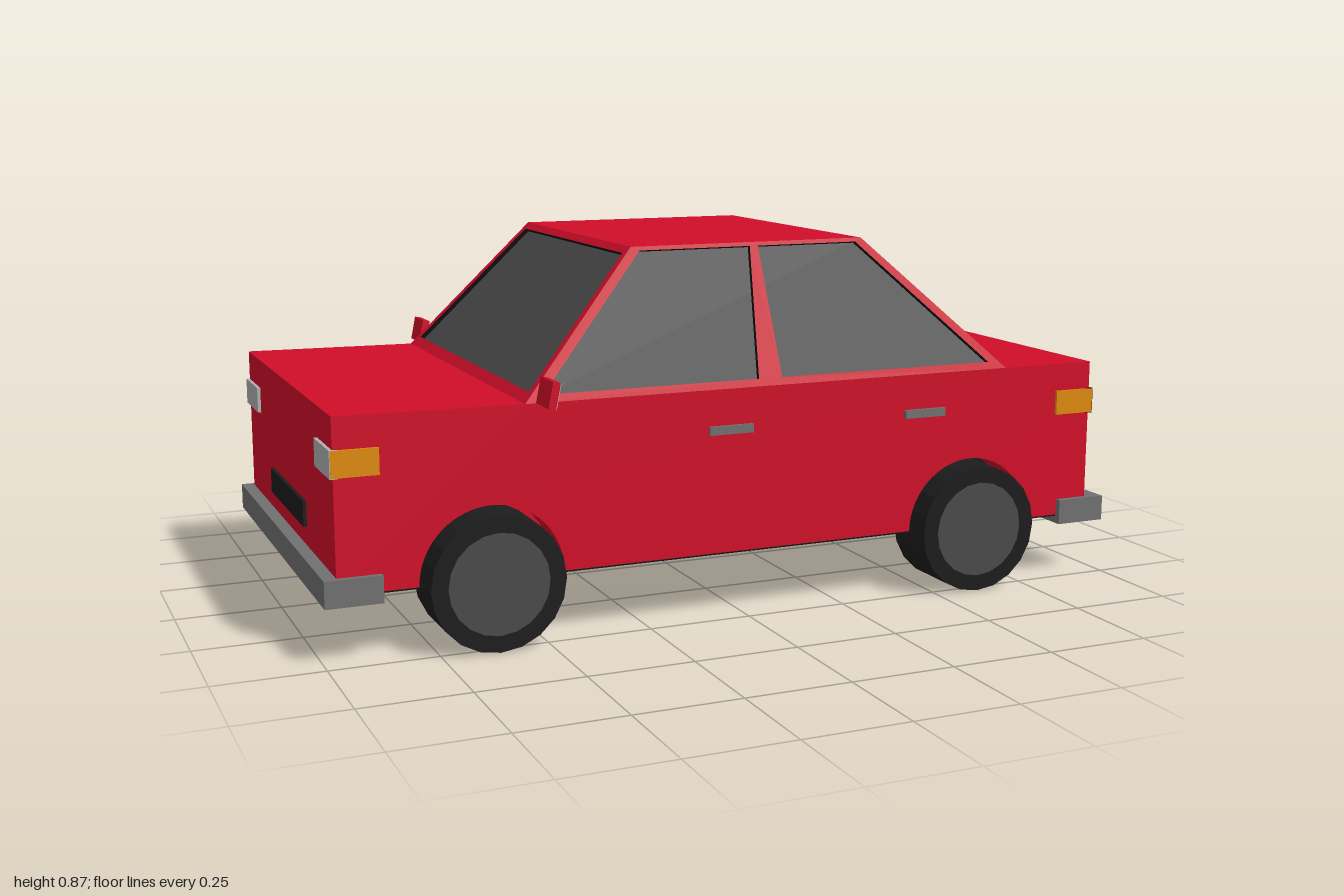
import * as THREE from 'three';

const mat = (color) => new THREE.MeshStandardMaterial({ color, flatShading: true });
const RED = mat(0xd00e28), GLASS = mat(0x4a4a4a), BLACK = mat(0x1c1c1c), DARK = mat(0x111111);
const GREY = mat(0x707070), AMBER = mat(0xdd8a0c), TAIL = mat(0x5a0c0c), SILVER = mat(0xb0b0b0);

const BELT = 0.548, ROOF = 0.872, HALF = 0.48, ROOF_HALF = 0.365;
const NOSE = -0.97, TAIL_X = 0.955;
const CABIN = { x0: -0.54, x1: 0.705, r0: -0.243, r1: 0.355 };
const WHEELS = [-0.62, 0.61], AXLE_Y = 0.16;

export function createModel() {
  const car = new THREE.Group();
  car.name = 'car';

  const add = (name, geometry, material, parent = car) => {
    const mesh = new THREE.Mesh(geometry, material);
    mesh.name = name;
    parent.add(mesh);
    return mesh;
  };
  // box given by its lower and upper limits
  const box = (name, material, x0, x1, y0, y1, z0, z1, parent) => {
    const mesh = add(name, new THREE.BoxGeometry(x1 - x0, y1 - y0, z1 - z0), material, parent);
    mesh.position.set((x0 + x1) / 2, (y0 + y1) / 2, (z0 + z1) / 2);
    return mesh;
  };

  // lower body with wheel arches cut through
  const body = new THREE.Shape();
  body.moveTo(NOSE, AXLE_Y);
  for (const x of WHEELS) {
    body.lineTo(x - 0.168, AXLE_Y);
    body.absarc(x, AXLE_Y, 0.168, Math.PI, 0, true);
  }
  body.lineTo(TAIL_X, AXLE_Y);
  body.lineTo(TAIL_X, BELT);
  body.lineTo(CABIN.x0, BELT);
  body.lineTo(NOSE, 0.553);
  const bodyGeo = new THREE.ExtrudeGeometry(body, { depth: HALF * 2, bevelEnabled: false, curveSegments: 20 });
  bodyGeo.translate(0, 0, -HALF);
  add('body', bodyGeo, RED);
  box('underbody', DARK, NOSE + 0.003, TAIL_X - 0.003, 0.156, 0.162, -0.478, 0.478);
  WHEELS.forEach((x, i) => box('wheelWell', i ? BLACK : RED, x - 0.17, x + 0.17, 0.161, 0.34, -0.385, 0.385));

  // sloping cabin wall: framed openings with recessed glass behind
  const DEPTH = 0.012;
  const wall = (name, outline, holes, origin, u, slope) => {
    const v = slope.clone().normalize();
    const n = u.clone().cross(v);
    const points = (list) => list.map(([a, y]) => new THREE.Vector2(a, (y - BELT) / v.y));
    const shape = new THREE.Shape(points(outline));
    const pane = new THREE.ShapeGeometry(shape);
    shape.holes = holes.map((h) => new THREE.Path(points(h)));
    const frame = new THREE.ExtrudeGeometry(shape, { depth: DEPTH, bevelEnabled: false });
    const m = new THREE.Matrix4().makeBasis(u, v, n).setPosition(origin.clone().addScaledVector(n, -DEPTH));
    add(name + 'Frame', frame.applyMatrix4(m), [RED, DARK]);
    m.setPosition(origin.clone().addScaledVector(n, -DEPTH + 0.001));
    add(name + 'Glass', pane.applyMatrix4(m), GLASS);
  };
  const V = (x, y, z) => new THREE.Vector3(x, y, z);
  const rise = ROOF - BELT;

  // side walls, each with two windows
  const sideOutline = [[CABIN.x0, BELT], [CABIN.x1, BELT], [CABIN.r1, ROOF], [CABIN.r0, ROOF]];
  const sideWindows = [
    [[-0.495, 0.565], [0.033, 0.565], [0.057, 0.863], [-0.222, 0.863]],
    [[0.093, 0.565], [0.657, 0.565], [0.338, 0.863], [0.078, 0.863]],
  ];
  for (const s of [1, -1]) {
    const flip = (list) => list.map(([x, y]) => [x * s, y]);
    wall('sideWindow', flip(sideOutline), sideWindows.map(flip),
      V(0, BELT, s * HALF), V(s, 0, 0), V(0, rise, s * (ROOF_HALF - HALF)));
  }

  // windscreen and rear window
  const endOutline = [[-HALF, BELT], [HALF, BELT], [ROOF_HALF, ROOF], [-ROOF_HALF, ROOF]];
  const endWindow = [[-0.45, 0.569], [0.45, 0.569], [0.347, 0.857], [-0.347, 0.857]];
  wall('windscreen', endOutline, [endWindow], V(CABIN.x0, BELT, 0), V(0, 0, 1), V(CABIN.r0 - CABIN.x0, rise, 0));
  wall('rearWindow', endOutline, [endWindow], V(CABIN.x1, BELT, 0), V(0, 0, -1), V(CABIN.r1 - CABIN.x1, rise, 0));
  box('roof', RED, CABIN.r0, CABIN.r1, ROOF - 0.008, ROOF, -ROOF_HALF, ROOF_HALF);

  // bumpers, grille and rear plate
  box('frontBumper', GREY, -1, -0.87, 0.138, 0.2, -0.495, 0.495);
  box('rearBumper', GREY, 0.87, 1, 0.138, 0.2, -0.495, 0.495);
  box('grille', BLACK, NOSE - 0.008, NOSE + 0.01, 0.245, 0.305, -0.19, 0.19);
  box('rearPlate', BLACK, TAIL_X - 0.01, TAIL_X + 0.008, 0.245, 0.305, -0.19, 0.19);

  for (const s of [1, -1]) {
    const side = new THREE.Group();
    side.name = s > 0 ? 'leftDetails' : 'rightDetails';
    car.add(side);
    const part = (name, m, x0, x1, y0, y1, a, b) =>
      box(name, m, x0, x1, y0, y1, Math.min(a * s, b * s), Math.max(a * s, b * s), side);

    // lights wrapping the corners
    part('headlight', SILVER, NOSE - 0.008, NOSE + 0.01, 0.418, 0.481, 0.335, 0.486);
    part('frontIndicator', AMBER, NOSE - 0.006, -0.87, 0.42, 0.48, 0.46, 0.487);
    part('tailLight', TAIL, TAIL_X - 0.01, TAIL_X + 0.008, 0.418, 0.481, 0.254, 0.486);
    part('rearIndicator', AMBER, 0.855, TAIL_X + 0.006, 0.42, 0.48, 0.46, 0.487);

    // door handles
    for (const x of [-0.042, 0.475]) part('doorHandle', GREY, x - 0.055, x + 0.055, 0.443, 0.463, 0.47, 0.49);

    // door mirror, leaning back with a pale reflecting face
    const mirror = new THREE.Group();
    mirror.name = 'doorMirror';
    mirror.position.set(-0.5, 0.577, s * 0.524);
    mirror.rotation.z = -0.2;
    side.add(mirror);
    box('mirrorHousing', RED, -0.01, 0.008, -0.03, 0.03, -0.041, 0.041, mirror);
    box('mirrorGlass', SILVER, 0.007, 0.01, -0.029, 0.029, -0.04, 0.04, mirror);

    // wheels
    for (const x of WHEELS) {
      const wheel = new THREE.Group();
      wheel.name = 'wheel';
      wheel.position.set(x, AXLE_Y, s * 0.458);
      wheel.rotation.x = (s * Math.PI) / 2;
      side.add(wheel);
      add('tyre', new THREE.CylinderGeometry(0.156, 0.156, 0.142, 20), BLACK, wheel);
      add('hub', new THREE.CylinderGeometry(0.117, 0.117, 0.145, 20), GLASS, wheel);
    }
  }
  return car;
}
